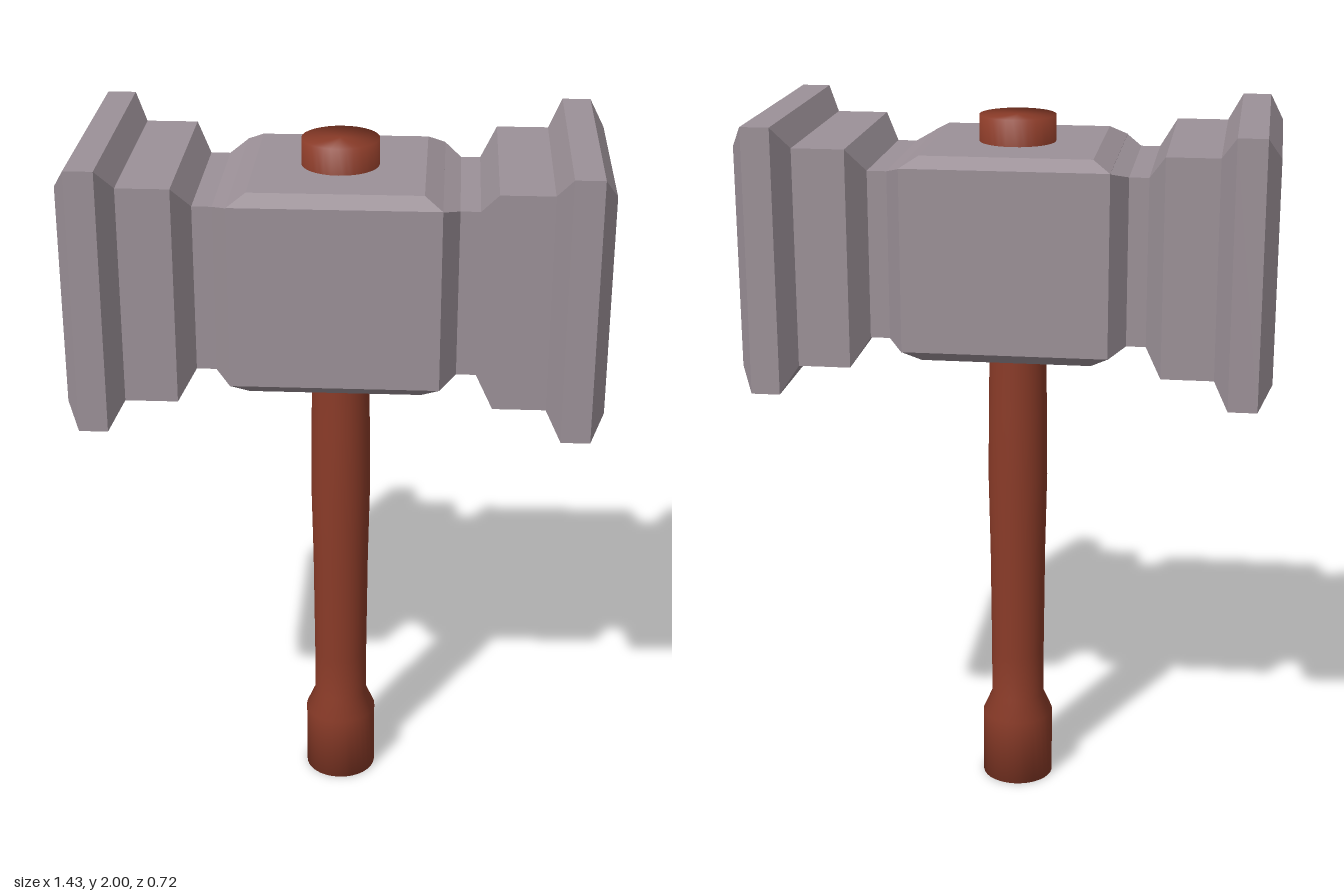
import * as THREE from 'three';

const CORNERS = [[1, 1], [1, -1], [-1, -1], [-1, 1]];

// Flat-faced solid through rectangular sections [y, halfX, halfZ], bottom to top
function loft(sections) {
  const pos = [];
  const rings = sections.map(([y, a, b]) => CORNERS.map(([x, z]) => [x * a, y, z * b]));
  const quad = (a, b, c, d) => [a, b, c, a, c, d].forEach(p => pos.push(...p));
  for (let s = 0; s < rings.length - 1; s++) {
    for (let i = 0; i < 4; i++) {
      const j = (i + 1) % 4;
      quad(rings[s][i], rings[s][j], rings[s + 1][j], rings[s + 1][i]);
    }
  }
  quad(...[...rings[0]].reverse());
  quad(...rings[rings.length - 1]);
  const g = new THREE.BufferGeometry();
  g.setAttribute('position', new THREE.Float32BufferAttribute(pos, 3));
  g.computeVertexNormals();
  return g;
}

export function createModel() {
  const group = new THREE.Group();
  const stone = new THREE.MeshStandardMaterial({ color: 0x9c9198 });
  const wood = new THREE.MeshStandardMaterial({ color: 0x8a3b28 });

  const add = (name, geometry, material) => {
    const mesh = new THREE.Mesh(geometry, material);
    mesh.name = name;
    group.add(mesh);
    return mesh;
  };

  // Central block with chamfered top and bottom
  add('headBlock', loft([
    [1.36, 0.23, 0.255], [1.392, 0.278, 0.297],
    [1.89, 0.278, 0.297], [1.918, 0.23, 0.255],
  ]), stone);

  // Stepped striking ends: neck, shoulder, flange, bevelled face
  const end = [
    [0.278, 0.249, 0.297], [0.322, 0.229, 0.229], [0.375, 0.229, 0.229],
    [0.42, 0.297, 0.297], [0.562, 0.297, 0.297], [0.602, 0.361, 0.361],
    [0.68, 0.361, 0.361], [0.716, 0.3, 0.3],
  ];
  for (const side of [1, -1]) {
    const mesh = add(side > 0 ? 'leftStrikingEnd' : 'rightStrikingEnd', loft(end), stone);
    mesh.rotation.z = -side * Math.PI / 2;
    mesh.position.y = 1.64;
  }

  // Turned handle with a pommel below and a plug above the head
  const profile = [
    [0, 0], [0.103, 0], [0.103, 0.2], [0.077, 0.26], [0.077, 0.4], [0.08, 0.72],
    [0.085, 0.95], [0.083, 1.15], [0.08, 1.36], [0.08, 1.8],
    [0.105, 1.86], [0.105, 1.99], [0, 1.99],
  ].map(([r, y]) => new THREE.Vector2(r, y));
  add('handle', new THREE.LatheGeometry(profile, 32), wood);

  return group;
}
